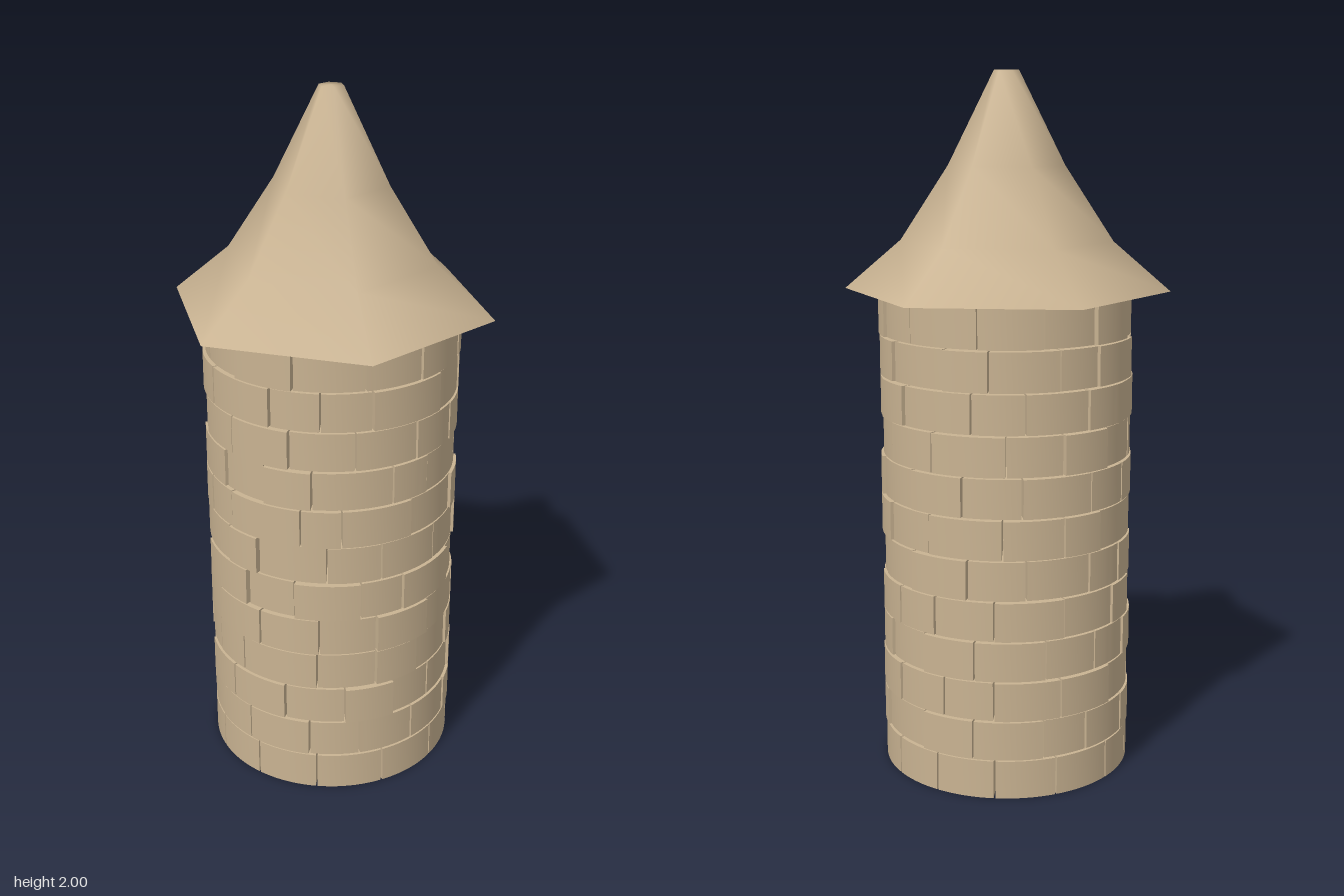
import * as THREE from 'three';
import { toCreasedNormals } from 'three/addons/utils/BufferGeometryUtils.js';

const ROWS = 12, BRICKS = 13;
const EAVES = 1.39;
const ROW_HEIGHT = EAVES / ROWS;
const GAP = 0.005;

// Small seeded generator for the uneven masonry
function seeded(seed) {
  return () => {
    seed = (seed * 16807) % 2147483647;
    return seed / 2147483647;
  };
}

// Curved block: a sector of a ring, extruded upwards
function brickGeometry(inner, outer, start, end, height) {
  const o = GAP / 2 / outer, i = GAP / 2 / inner;
  const shape = new THREE.Shape();
  shape.absarc(0, 0, outer, start + o, end - o, false);
  shape.absarc(0, 0, inner, end - i, start + i, true);
  shape.closePath();
  const geometry = new THREE.ExtrudeGeometry(shape, { depth: height, bevelEnabled: false, curveSegments: 5 });
  geometry.rotateX(-Math.PI / 2);
  return toCreasedNormals(geometry, 0.5);
}

export function createModel() {
  const stone = new THREE.MeshStandardMaterial({ color: 0xc9b392 });
  stone.name = 'sandstone';
  const model = new THREE.Group();
  model.name = 'tower';
  const rand = seeded(4711);

  // Hollow wall of staggered brick courses
  const wall = new THREE.Group();
  wall.name = 'brickWall';
  model.add(wall);
  const step = (Math.PI * 2) / BRICKS;
  for (let row = 0; row < ROWS; row++) {
    const course = new THREE.Group();
    course.name = `brickCourse${row + 1}`;
    course.position.y = row * ROW_HEIGHT;
    wall.add(course);
    const offset = (row % 2) * step * 0.5 + rand() * step * 0.3;
    const joints = [];
    for (let i = 0; i < BRICKS; i++) joints.push(offset + (i + (rand() - 0.5) * 0.4) * step);
    joints.push(joints[0] + Math.PI * 2);
    for (let i = 0; i < BRICKS; i++) {
      const shift = row === 0 ? 0 : (rand() - 0.5) * 0.012;
      const brick = new THREE.Mesh(
        brickGeometry(0.237 + shift, 0.36 + shift, joints[i], joints[i + 1], ROW_HEIGHT - GAP), stone);
      brick.name = 'brick';
      course.add(brick);
    }
  }

  // Flared six-sided roof with a blunt tip
  const profile = [[0.465, EAVES], [0.302, 1.53], [0.165, 1.74], [0.035, 2], [0, 2]]
    .map(([r, y]) => new THREE.Vector2(r, y));
  const roof = new THREE.Mesh(new THREE.LatheGeometry(profile, 6, Math.PI / 2), stone);
  roof.name = 'roof';
  model.add(roof);

  // Flat underside of the roof
  const soffit = new THREE.Mesh(new THREE.CircleGeometry(0.465, 6), stone);
  soffit.name = 'roofUnderside';
  soffit.rotation.x = Math.PI / 2;
  soffit.position.y = EAVES;
  model.add(soffit);

  return model;
}
